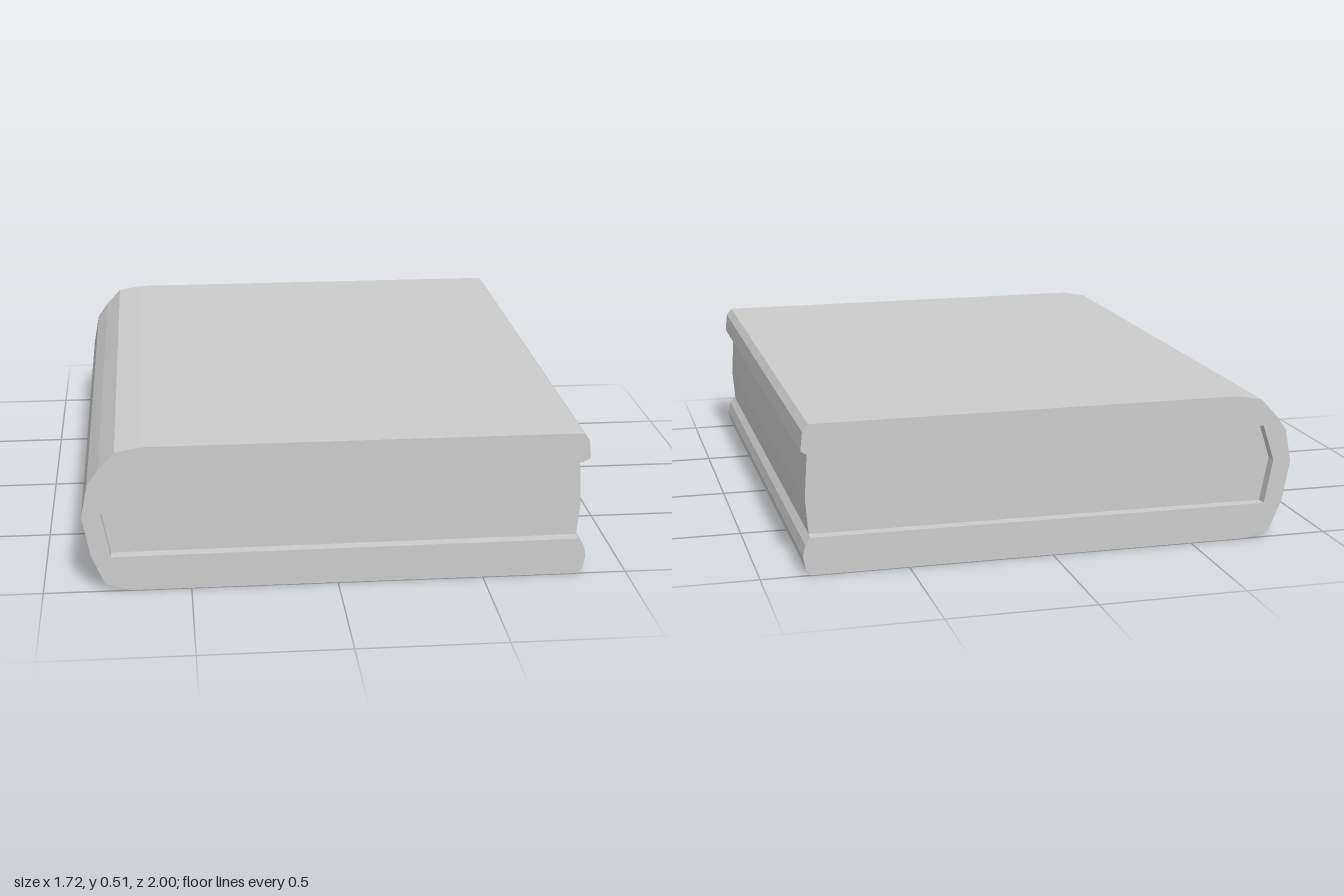
import * as THREE from 'three';

// Extrudes an x/y profile symmetrically about z = 0
function prism(name, points, length, material) {
  const shape = new THREE.Shape(points.map(([x, y]) => new THREE.Vector2(x, y)));
  const geometry = new THREE.ExtrudeGeometry(shape, { depth: length, bevelEnabled: false });
  geometry.translate(0, 0, -length / 2);
  const mesh = new THREE.Mesh(geometry, material);
  mesh.name = name;
  return mesh;
}

export function createModel() {
  const book = new THREE.Group();
  book.name = 'book';
  const grey = new THREE.MeshStandardMaterial({ color: 0xcccccc });
  grey.name = 'grey';
  grey.flatShading = true;

  // Inside of the wrap-around cover, from top fore edge round the spine to bottom fore edge
  const inner = [[0.83, 0.41], [-0.757, 0.404], [-0.798, 0.278], [-0.768, 0.124], [0.83, 0.13]];

  // Outside of the cover, from bottom fore edge round the spine to top fore edge
  const outer = [
    [0.848, 0.105], [0.857, 0.066], [0.848, 0.022], [0.83, 0],
    [-0.705, 0], [-0.79, 0.025], [-0.835, 0.13], [-0.862, 0.27], [-0.84, 0.385],
    [-0.8, 0.44], [-0.745, 0.499], [-0.655, 0.515],
    [0.83, 0.515], [0.85, 0.49], [0.857, 0.425],
  ];
  book.add(prism('cover', [...inner, ...outer], 2, grey));

  // Page block, slightly shorter than the cover, with a gently bowed fore edge
  book.add(prism('pages', [...inner, [0.84, 0.25]], 1.92, grey));

  return book;
}
